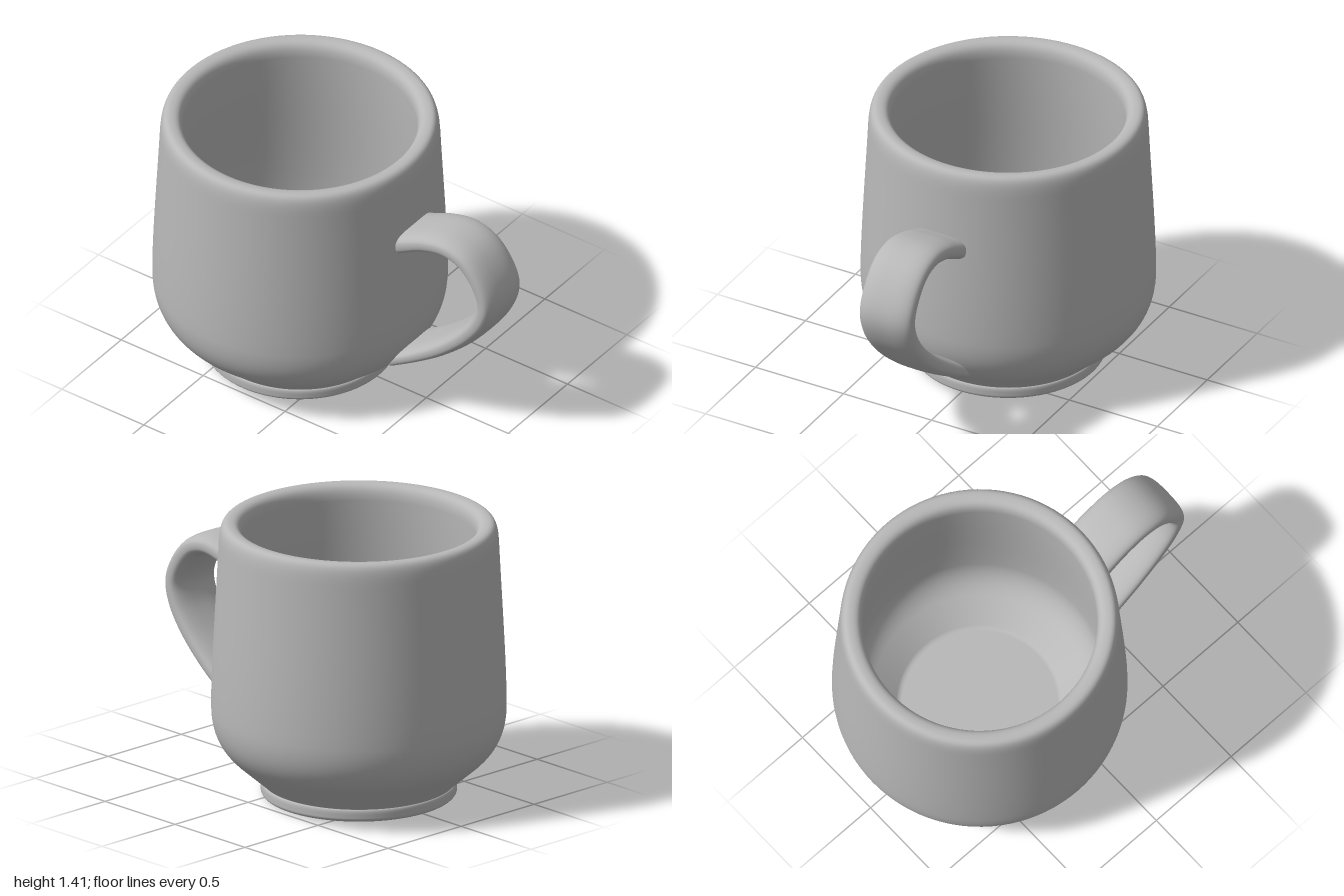
import * as THREE from 'three';

const glaze = new THREE.MeshStandardMaterial({ color: 0xb8b8b8 });
glaze.name = 'grey glaze';

const BODY_X = -0.27;

// Revolved cup: foot, outer wall, rounded rim, inner wall and floor
function makeCup() {
  const p = new THREE.Path();
  p.moveTo(0, 0);
  p.lineTo(0.43, 0);
  p.lineTo(0.45, 0.001);
  p.quadraticCurveTo(0.484, 0.004, 0.486, 0.025);
  p.lineTo(0.486, 0.045);
  p.quadraticCurveTo(0.486, 0.066, 0.478, 0.069);
  p.quadraticCurveTo(0.478, 0.072, 0.486, 0.078);
  p.lineTo(0.6, 0.178);
  p.bezierCurveTo(0.68, 0.245, 0.73, 0.32, 0.731, 0.46);
  p.bezierCurveTo(0.731, 0.66, 0.708, 1.0, 0.694, 1.29);
  p.bezierCurveTo(0.69, 1.375, 0.682, 1.41, 0.645, 1.411);
  p.bezierCurveTo(0.61, 1.411, 0.581, 1.4, 0.581, 1.33);
  p.bezierCurveTo(0.59, 1.0, 0.62, 0.7, 0.62, 0.47);
  p.bezierCurveTo(0.62, 0.37, 0.58, 0.31, 0.53, 0.265);
  p.lineTo(0.412, 0.16);
  p.quadraticCurveTo(0.4, 0.15, 0.385, 0.15);
  p.lineTo(0.36, 0.15);
  p.lineTo(0, 0.15);
  const cup = new THREE.Mesh(new THREE.LatheGeometry(p.getPoints(14), 96), glaze);
  cup.name = 'cup';
  cup.position.x = BODY_X;
  return cup;
}

// Strap handle: flattened rounded sections swept along a curve in the xy plane
function makeHandle() {
  const curve = new THREE.CatmullRomCurve3([
    [0.37, 0.965], [0.46, 1.005], [0.57, 1.055], [0.7, 1.08], [0.81, 1.048],
    [0.9, 0.95], [0.94, 0.84], [0.913, 0.73], [0.825, 0.6], [0.68, 0.46],
    [0.53, 0.35], [0.37, 0.25],
  ].map(([x, y]) => new THREE.Vector3(x, y, 0)), false, 'centripetal');
  const STEPS = 80, SIDES = 40;
  const round = (v) => Math.sign(v) * Math.pow(Math.abs(v), 0.72);
  const pos = [], index = [];
  for (let i = 0; i <= STEPS; i++) {
    const t = i / STEPS;
    const c = curve.getPointAt(t), d = curve.getTangentAt(t);
    // the strap swells at the upper root and thins towards the lower one
    const flare = Math.exp(-t * 18);
    const thick = 0.05 + 0.022 * flare + 0.008 * Math.sin(Math.PI * t) - 0.008 * t;
    const wide = 0.149 + 0.008 * flare;
    for (let j = 0; j < SIDES; j++) {
      const a = (j / SIDES) * Math.PI * 2;
      const n = round(Math.cos(a)) * thick;
      pos.push(c.x - d.y * n, c.y + d.x * n, round(Math.sin(a)) * wide);
      if (i < STEPS) {
        const k = (j + 1) % SIDES;
        const p = i * SIDES + j, q = i * SIDES + k;
        index.push(p, q, p + SIDES, q, q + SIDES, p + SIDES);
      }
    }
  }
  const g = new THREE.BufferGeometry();
  g.setAttribute('position', new THREE.Float32BufferAttribute(pos, 3));
  g.setIndex(index);
  g.computeVertexNormals();
  const handle = new THREE.Mesh(g, glaze);
  handle.name = 'handle';
  return handle;
}

export function createModel() {
  const mug = new THREE.Group();
  mug.name = 'mug';
  mug.add(makeCup(), makeHandle());
  return mug;
}
